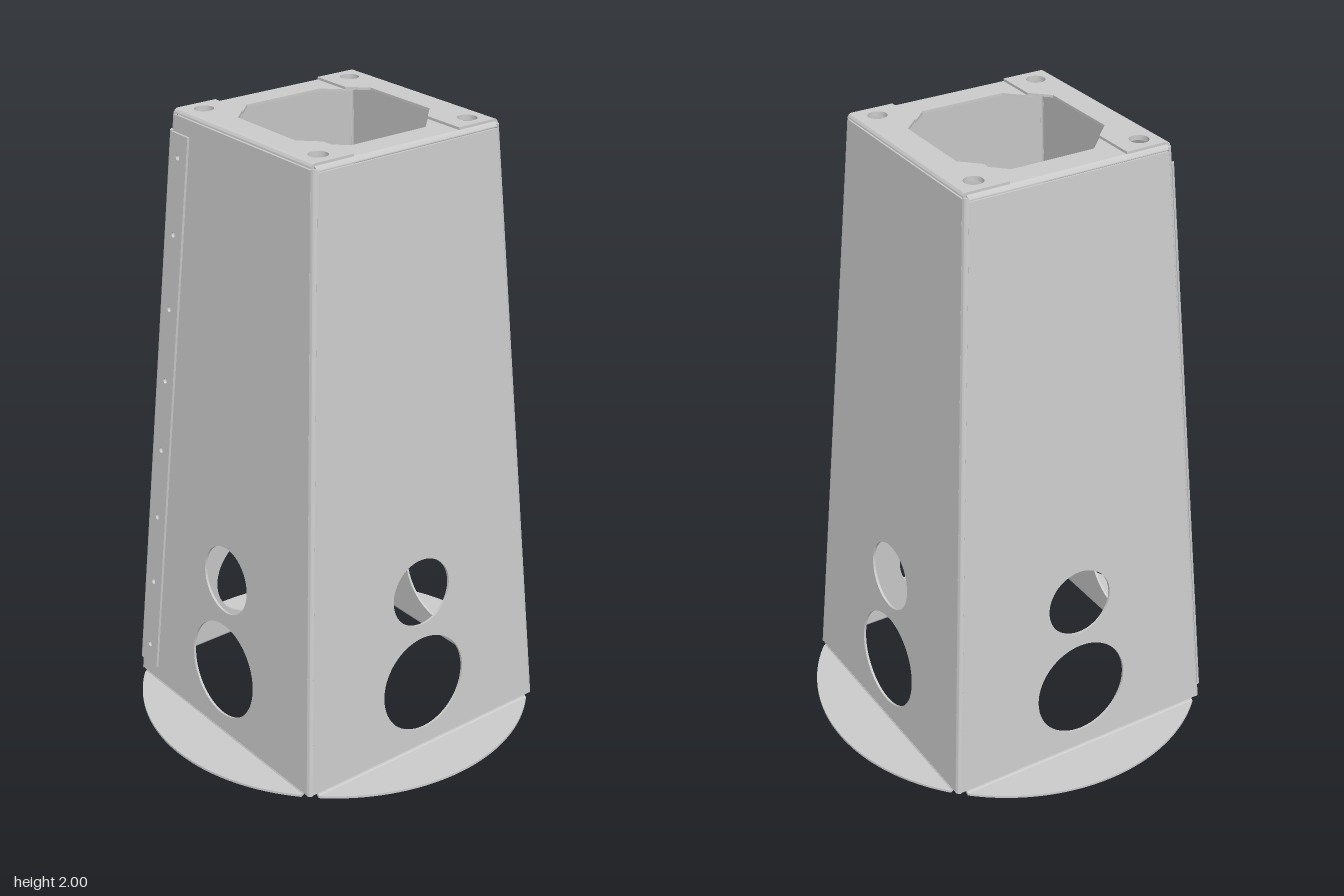
import * as THREE from 'three';
import { toCreasedNormals } from 'three/addons/utils/BufferGeometryUtils.js';

const A = 0.474, B = 0.346;          // half width at the base and at the top
const T = 0.008, R = 0.014;          // sheet thickness and bend radius
const SLOPE = (A - B) / 2, TILT = Math.atan(SLOPE);
const half = y => A - SLOPE * y;

function circleHole(shape, x, y, r) {
  shape.holes.push(new THREE.Path().absarc(x, y, r, 0, Math.PI * 2, true));
}
function polygon(points) {
  return new THREE.Shape(points.map(p => new THREE.Vector2(...p)));
}
function sheet(shape, depth = T, curveSegments = 32) {
  return new THREE.ExtrudeGeometry(shape, { depth, bevelEnabled: false, curveSegments });
}
// Quarter ring section; lead adds a straight piece before the bend
function bendShape(start, lead = 0) {
  const s = new THREE.Shape();
  s.absarc(0, 0, R, start, start + Math.PI / 2, false);
  s.absarc(0, 0, R - T, start + Math.PI / 2, start, true);
  if (lead) { s.lineTo(R - T, -lead); s.lineTo(R, -lead); }
  s.closePath();
  return s;
}
// Upright corner bend following the taper at the +x, -z corner
function cornerBend(y0, y1, lead = 0) {
  const g = sheet(bendShape(0, lead), y1 - y0, 6);
  g.rotateX(-Math.PI / 2).translate(0, y0, 0);
  const p = g.attributes.position;
  for (let i = 0; i < p.count; i++) {
    const c = half(p.getY(i)) - R;
    p.setX(i, p.getX(i) + c);
    p.setZ(i, p.getZ(i) - c);
  }
  return toCreasedNormals(g, 0.6);
}
// Bend lying along a front edge, section given in (z, y)
function edgeBend(start, halfLength, y, z) {
  const g = sheet(bendShape(start), halfLength * 2, 6);
  g.translate(0, 0, -halfLength).rotateY(-Math.PI / 2);
  return toCreasedNormals(g.translate(0, y, z), 0.6);
}
// Stand a flat sheet on the tapered front plane
function lean(g, offset) {
  return g.translate(0, 0, offset).rotateX(-TILT).translate(0, 0, A);
}

export function createModel() {
  const model = new THREE.Group();
  const material = new THREE.MeshStandardMaterial({ color: 0xcccccc, side: THREE.DoubleSide });
  const add = (parent, name, geometry) => {
    const mesh = new THREE.Mesh(geometry, material);
    mesh.name = name;
    parent.add(mesh);
    return mesh;
  };

  // Fastener holes along the overlapping seam
  const seamHoles = Array.from({ length: 8 }, (_, i) => {
    const y = 0.132 + i * 0.2472;
    return [-half(y) + 0.055, y];
  });

  for (let i = 0; i < 4; i++) {
    const side = new THREE.Group();
    side.name = ['front', 'left', 'back', 'right'][i] + 'Side';
    side.rotation.y = i * Math.PI / 2;
    model.add(side);
    const top = i % 2 ? 2 - T : 2;   // side tabs tuck under front and back tabs

    // Tapered wall with two access holes
    const y0 = R, y1 = top - R, w0 = half(y0) - R, w1 = half(y1) - R;
    const wall = polygon([[-w0, y0], [w0, y0], [w1, y1], [-w1, y1]]);
    circleHole(wall, 0, 0.235, 0.163);
    circleHole(wall, 0, 0.56, 0.113);
    if (i === 0) seamHoles.forEach(([x, y]) => circleHole(wall, x, y, 0.009));
    add(side, 'wall', lean(sheet(wall), -T));

    // Upright corner
    add(side, 'cornerBend', cornerBend(0.012, 2 - R)).rotation.y = Math.PI / 2;

    // Base flange: a circle segment outside the wall
    const d = A - T + R, radius = 0.651, a = Math.asin(d / radius);
    const segment = new THREE.Shape();
    segment.absarc(0, 0, radius, a, Math.PI - a, false);
    segment.closePath();
    add(side, 'baseFlange', sheet(segment).rotateX(Math.PI / 2).translate(0, T, 0));
    add(side, 'baseBend', edgeBend(Math.PI, radius * Math.cos(a), R, d));

    // Top tab with its share of the octagonal opening and two bolt holes
    const e = B - R, w = 0.335;
    const tab = polygon([[-w, 0.195], [-0.195, 0.195], [-0.139, 0.251], [0.139, 0.251],
      [0.195, 0.195], [w, 0.195], [w, e], [-w, e]]);
    for (const x of [-0.277, 0.277]) circleHole(tab, x, 0.277, 0.03);
    add(side, 'topTab', sheet(tab).rotateX(Math.PI / 2).translate(0, top, 0));
    add(side, 'topBend', edgeBend(0, w, top - R, e));
  }

  // Seam strip lapped over the front wall at its right edge
  const lo = 0.06, hi = 1.935;
  const strip = polygon([[-half(lo) + R, lo], [-half(lo) + 0.1, lo],
    [-half(hi) + 0.1, hi], [-half(hi) + R, hi]]);
  seamHoles.forEach(([x, y]) => circleHole(strip, x, y, 0.009));
  add(model, 'seamStrip', lean(sheet(strip), 0));

  // Bend carrying the strip round from the right wall
  const seamBend = add(model, 'seamBend', cornerBend(lo, hi).rotateY(Math.PI));
  seamBend.position.z = T;

  return model;
}
